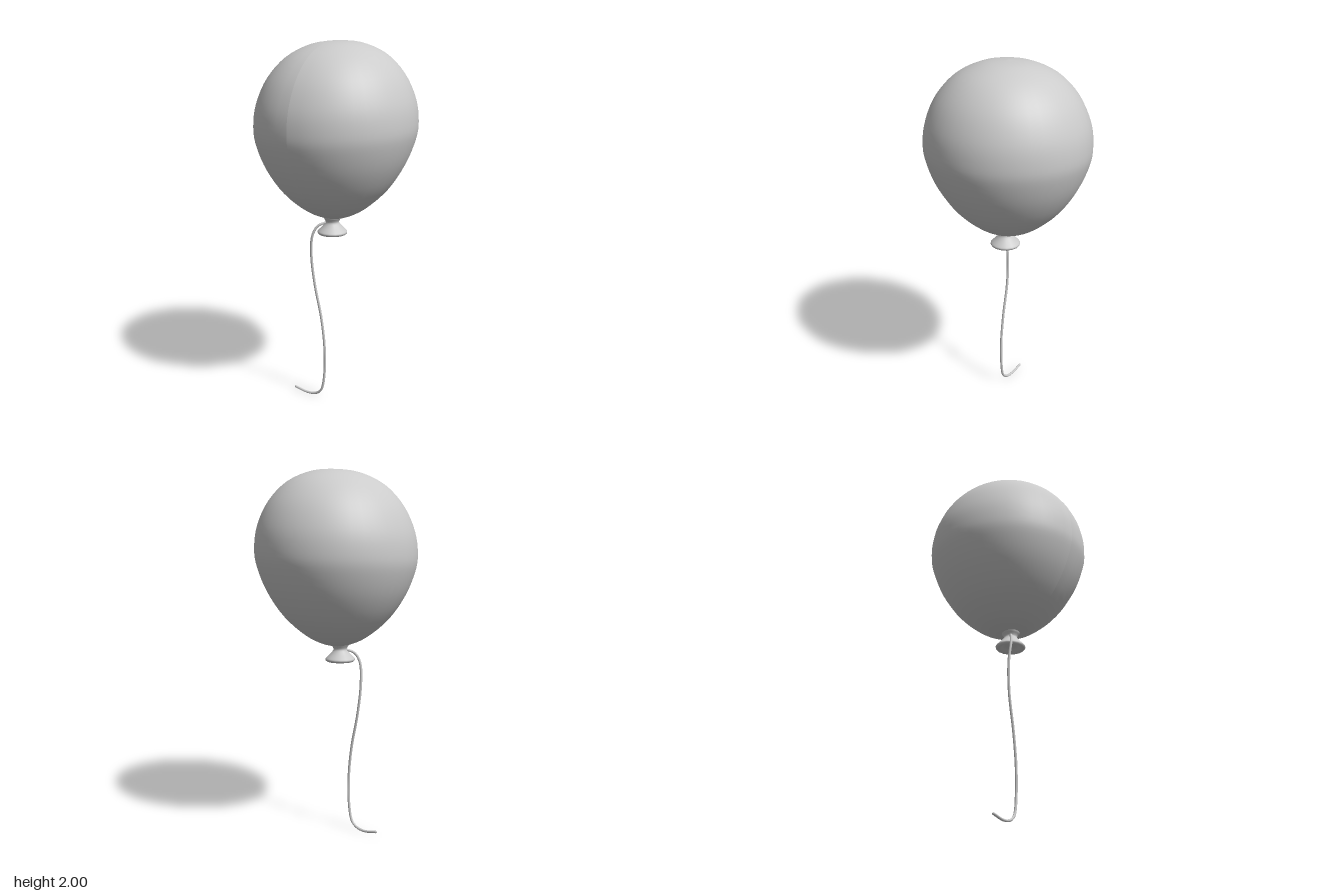
import * as THREE from 'three';

const material = new THREE.MeshStandardMaterial({ color: 0xcccccc, side: THREE.DoubleSide });

// Smooth lathe through a few [radius, height] points, listed from bottom to top
function turned(name, points, steps, sides) {
  const curve = new THREE.SplineCurve(points.map(([r, y]) => new THREE.Vector2(r, y)));
  const profile = curve.getPoints(steps);
  profile.forEach((p) => { p.x = Math.max(p.x, 0); });
  const mesh = new THREE.Mesh(new THREE.LatheGeometry(profile, sides), material);
  mesh.name = name;
  return mesh;
}

export function createModel() {
  const group = new THREE.Group();
  group.name = 'balloon';

  // Inflated body: round crown, tapering underside
  const body = turned('balloonBody', [
    [0, 1.06], [0.07, 1.067], [0.17, 1.115], [0.284, 1.215], [0.372, 1.345],
    [0.424, 1.475], [0.437, 1.57], [0.42, 1.69], [0.36, 1.82], [0.26, 1.925],
    [0.13, 1.985], [0, 2],
  ], 44, 40);
  // Slight lean, and a little deeper than wide
  const pos = body.geometry.attributes.position;
  for (let i = 0; i < pos.count; i++) {
    const x = pos.getX(i) * 0.99, z = pos.getZ(i) * 1.012;
    pos.setXYZ(i, x, pos.getY(i) + 0.03 * x - 0.02 * z, z);
  }
  body.geometry.computeVertexNormals();
  group.add(body);

  // Tied neck with a flared rim and a shallow hollow underneath
  const neck = turned('neck', [
    [0, 0.993], [0.035, 0.988], [0.055, 0.975], [0.073, 0.97], [0.082, 0.982],
    [0.071, 0.996], [0.052, 1.015], [0.037, 1.035], [0.041, 1.05], [0.05, 1.065], [0.05, 1.085],
  ], 30, 16);
  neck.position.set(-0.008, 0, 0.024);
  group.add(neck);

  // String hanging from the neck, curling at the floor
  const path = new THREE.CatmullRomCurve3([
    [-0.035, 1.035, 0.045], [-0.068, 1.017, 0.075], [-0.092, 0.965, 0.093],
    [-0.105, 0.85, 0.087], [-0.09, 0.68, 0.078], [-0.05, 0.485, 0.074],
    [-0.029, 0.31, 0.074], [-0.03, 0.15, 0.075], [-0.05, 0.048, 0.078],
    [-0.085, 0.018, 0.08], [-0.14, 0.009, 0.082], [-0.222, 0.024, 0.086],
  ].map((p) => new THREE.Vector3(...p)));
  const string = new THREE.Mesh(new THREE.TubeGeometry(path, 72, 0.007, 8), material);
  string.name = 'string';
  group.add(string);

  // Rounded tips closing the string
  [0, 1].forEach((t) => {
    const tip = new THREE.Mesh(new THREE.SphereGeometry(0.007, 8, 6), material);
    tip.name = 'stringTip';
    tip.position.copy(path.getPoint(t));
    group.add(tip);
  });

  return group;
}
